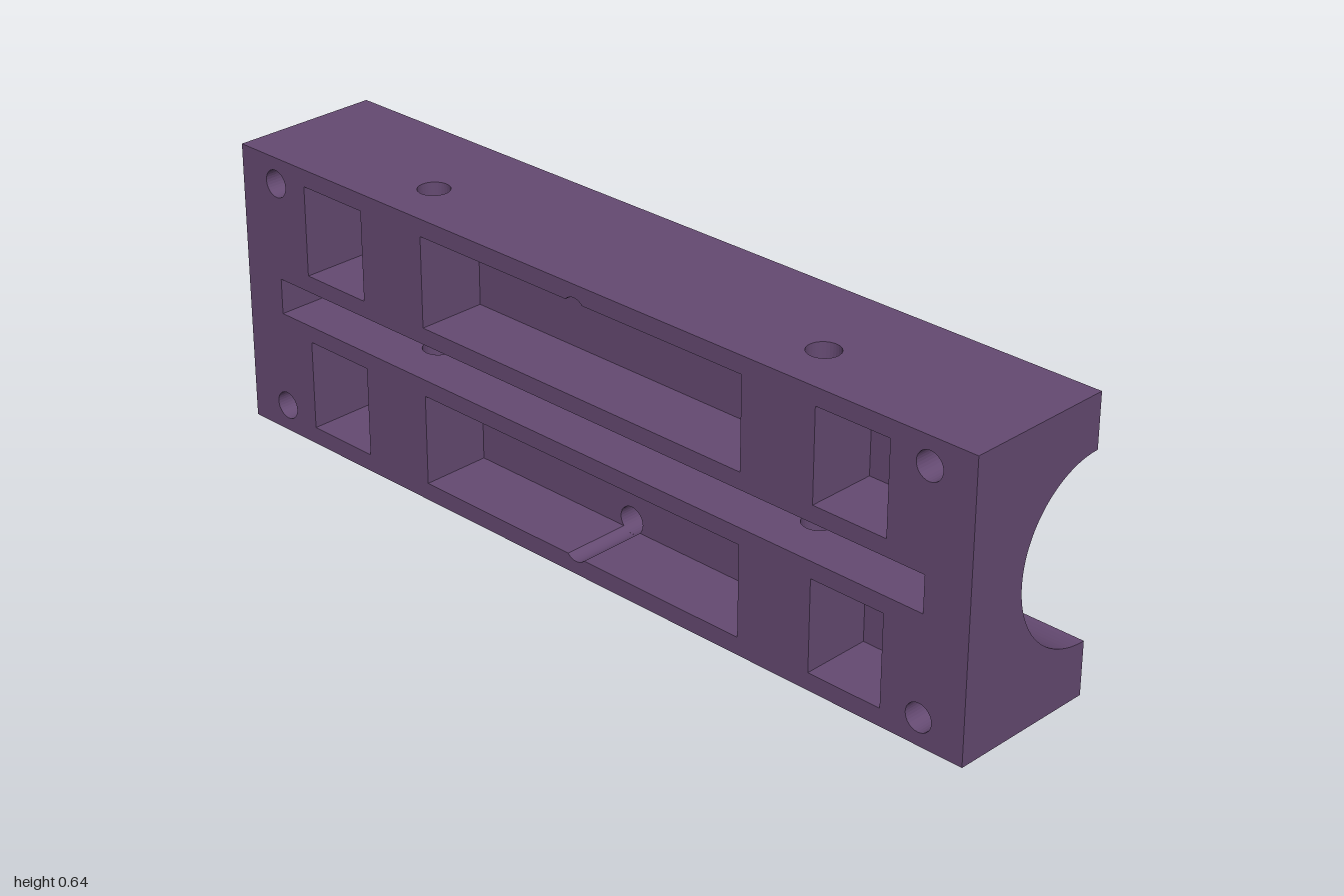
import * as THREE from 'three';

// Half of a split clamp block: half-round channel at the back, slot, pockets and bolt holes
const W = 1, H = 0.642, D = 0.174, MID = H / 2;   // half width, height, half depth
const R = 0.202;                                  // channel radius
const SX = 0.893, SY = 0.0405;                    // slot half sizes
const BOLT = 0.031, BOLT_Y = 0.06, BOLT_X = [-SX, 0, SX];
const PIN = 0.035, PIN_X = 0.533, PIN_Z = 0.051;  // vertical holes
const POCKET_Z = 0.015, POCKET_Y0 = 0.039, POCKET_Y1 = 0.243;
const POCKETS = [[-0.801, -0.623], [-0.441, 0.441], [0.623, 0.801]];

export function createModel() {
  const group = new THREE.Group();
  const purple = new THREE.MeshStandardMaterial({ color: 0x654a72, side: THREE.DoubleSide });
  const V = (x, y) => new THREE.Vector2(x, y);

  function add(name, geo) {
    geo.computeVertexNormals();
    const mesh = new THREE.Mesh(geo, purple);
    mesh.name = name;
    group.add(mesh);
  }

  // Flat face: a 2D shape placed in space by a rule
  function face(name, points, holes, place) {
    const shape = new THREE.Shape(points);
    shape.holes = holes.map((h) => new THREE.Path(h));
    const geo = new THREE.ShapeGeometry(shape);
    const p = geo.attributes.position;
    for (let i = 0; i < p.count; i++) p.setXYZ(i, ...place(p.getX(i), p.getY(i)));
    add(name, geo);
  }

  // Loose quads, each given as four corners
  function quads(name, list) {
    const pos = [];
    for (const [a, b, c, d] of list) pos.push(...a, ...b, ...c, ...a, ...c, ...d);
    const geo = new THREE.BufferGeometry();
    geo.setAttribute('position', new THREE.Float32BufferAttribute(pos, 3));
    add(name, geo);
  }

  // Wall between two copies of a closed outline
  function wall(name, outline, placeA, placeB) {
    quads(name, outline.map((p, i) => {
      const q = outline[(i + 1) % outline.length];
      return [placeA(p), placeA(q), placeB(q), placeB(p)];
    }));
  }

  const circle = (cx, cy, r, n = 32) => Array.from({ length: n }, (_, i) => {
    const a = (i / n) * Math.PI * 2;
    return V(cx + r * Math.cos(a), cy + r * Math.sin(a));
  });

  // Rectangle whose lower edge is crossed by circles, bitten inward or bulged outward
  function rect(x0, y0, x1, y1, centres = [], cy = 0, r = 0, inward = true) {
    const s = new THREE.Path();
    s.moveTo(x0, y0);
    for (const cx of centres) {
      const dy = y0 - cy, w = Math.sqrt(r * r - dy * dy);
      s.lineTo(cx - w, y0);
      s.absarc(cx, cy, r, Math.atan2(dy, -w), Math.atan2(dy, w), inward);
    }
    s.lineTo(x1, y0);
    s.lineTo(x1, y1);
    s.lineTo(x0, y1);
    return s.getPoints(24);
  }
  const spin = (pts) => pts.map((p) => V(-p.x, H - p.y));   // half turn about the block's middle

  // Channel angles, with breaks where the slot and the vertical holes cut it
  const slotT = Math.asin(SY / R), pinT = Math.acos((PIN_Z - PIN + D) / R);
  const angles = [];
  const stops = [[-Math.PI / 2, 18], [-pinT, 8], [-slotT, 6], [slotT, 8], [pinT, 18], [Math.PI / 2, 0]];
  stops.forEach(([t, n], i) => {
    for (let k = 0; k < n; k++) angles.push(t + (stops[i + 1][0] - t) * k / n);
  });
  angles.push(Math.PI / 2);
  const arcY = (t) => MID + R * Math.sin(t), arcZ = (t) => -D + R * Math.cos(t);
  const arc = angles.map((t) => V(arcY(t), arcZ(t)));

  // Channel surface
  const channel = [];
  for (let i = 0; i < angles.length - 1; i++) {
    const t0 = angles[i], t1 = angles[i + 1], m = Math.abs(t0 + t1) / 2;
    const spans = (t) => {
      if (m < slotT) return [[-W, -SX], [SX, W]];
      if (m > pinT) return [[-W, W]];
      const w = Math.sqrt(Math.max(0, PIN * PIN - (arcZ(t) - PIN_Z) ** 2));
      return [[-W, -PIN_X - w], [-PIN_X + w, PIN_X - w], [PIN_X + w, W]];
    };
    const a = spans(t0), b = spans(t1);
    a.forEach((s, k) => channel.push([
      [s[0], arcY(t0), arcZ(t0)], [b[k][0], arcY(t1), arcZ(t1)],
      [b[k][1], arcY(t1), arcZ(t1)], [s[1], arcY(t0), arcZ(t0)]]));
  }
  quads('channel', channel);

  // End faces
  const profile = [V(0, -D), ...arc, V(H, -D), V(H, D), V(0, D)];
  face('leftEnd', profile, [], (u, v) => [W, u, v]);
  face('rightEnd', profile, [], (u, v) => [-W, H - u, v]);

  // Top and bottom with vertical holes
  const pins = [-PIN_X, PIN_X].map((x) => circle(x, PIN_Z, PIN));
  const plan = rect(-W, -D, W, D);
  face('bottom', plan, pins, (u, v) => [u, 0, v]);
  face('top', plan, pins, (u, v) => [-u, H, v]);
  const pinEnd = (z) => {                        // where a hole meets the channel or slot
    const c = R * R - (z + D) ** 2;
    return Math.min(MID - SY, c > 0 ? MID - Math.sqrt(c) : MID);
  };
  for (const pin of pins) {
    wall('lowerPinHole', pin, (p) => [p.x, 0, p.y], (p) => [p.x, pinEnd(p.y), p.y]);
    wall('upperPinHole', pin, (p) => [p.x, H - pinEnd(p.y), p.y], (p) => [p.x, H, p.y]);
  }

  // Slot walls
  const slotWall = rect(-SX, arcZ(slotT), SX, D, [-PIN_X, PIN_X], PIN_Z, PIN);
  face('slotCeiling', slotWall, [], (u, v) => [u, MID + SY, v]);
  face('slotFloor', slotWall, [], (u, v) => [-u, MID - SY, v]);
  const slotEnd = [...arc.filter((p) => Math.abs(p.x - MID) < SY + 1e-6), V(MID + SY, D), V(MID - SY, D)];
  face('slotEnd', slotEnd, [], (u, v) => [-SX, u, v]);
  face('slotEnd', slotEnd, [], (u, v) => [SX, H - u, v]);

  // Pockets and bolt holes, lower row then the same turned upside down
  const frontHoles = [rect(-SX, MID - SY, SX, MID + SY)];
  const at = (z) => (p) => [p.x, p.y, z];
  for (const turn of [(pts) => pts, spin]) {
    for (const [x0, x1] of POCKETS) {
      const bolts = x0 < 0 && x1 > 0 ? [0] : [];
      const make = (inward) => turn(rect(x0, POCKET_Y0, x1, POCKET_Y1, bolts, BOLT_Y, BOLT, inward));
      const outline = make(false);
      frontHoles.push(outline);
      wall('pocketWall', outline, at(D), at(POCKET_Z));
      face('pocketFloor', make(true), [], (u, v) => [u, v, POCKET_Z]);
    }
    const rings = BOLT_X.map((x) => turn(circle(x, BOLT_Y, BOLT)));
    rings.forEach((ring, i) => {
      wall('boltHole', ring, at(i === 1 ? POCKET_Z : D), at(-D));
      if (i !== 1) frontHoles.push(ring);
    });
    // Back rim beside the channel
    const mirror = (pts) => pts.map((p) => V(-p.x, p.y));
    face('backRim', mirror(turn(rect(-W, 0, W, MID - R))), rings.map(mirror), (u, v) => [-u, v, -D]);
  }
  face('front', rect(-W, 0, W, H), frontHoles, (u, v) => [u, v, D]);

  return group;
}
